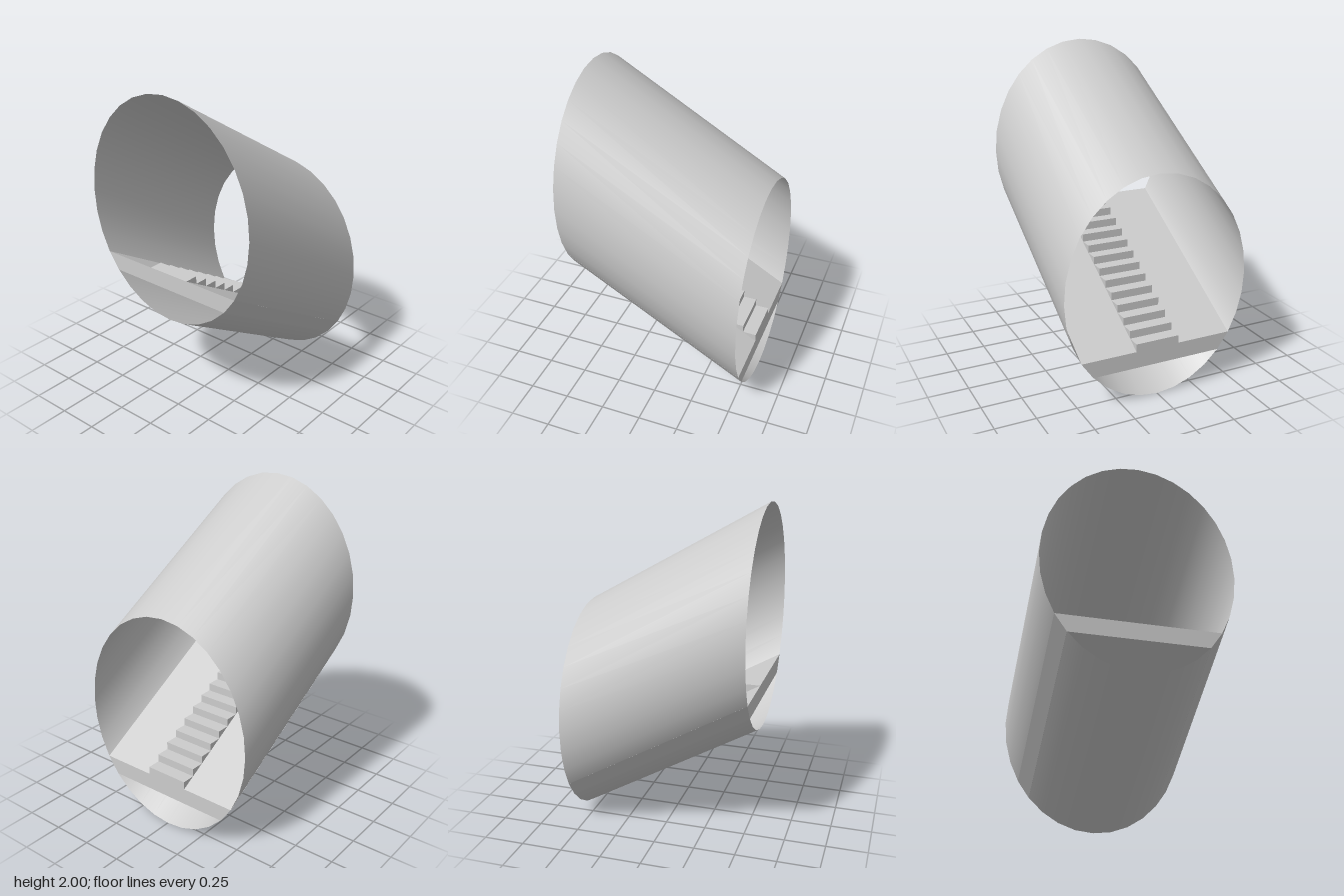
import * as THREE from 'three';

const RX = 0.589, RY = 0.68;          // section of the tube on a vertical cut
const LENGTH = 1.1;                   // depth along z
const SLOPE = Math.tan(Math.PI / 6);  // the tunnel climbs 30 degrees to the front
const CENTER_Y = 1.0025;
const SIDES = 32, STEPS = 13, STEP_WIDTH = 0.28;

// Shears a shape so that its height follows the slope, keeping the ends vertical
const incline = new THREE.Matrix4().set(
  1, 0, 0, 0,
  0, 1, SLOPE, CENTER_Y,
  0, 0, 1, 0,
  0, 0, 0, 1
);

// Point on the tube section, counted in sides below the horizontal
function rim(side, sign) {
  const a = side * Math.PI * 2 / SIDES;
  const r = 1.001;
  return new THREE.Vector2(sign * RX * r * Math.cos(a), -RY * r * Math.sin(a));
}

export function createModel() {
  const group = new THREE.Group();
  const grey = new THREE.MeshStandardMaterial({ color: 0xcccccc });
  const shell = new THREE.MeshStandardMaterial({ color: 0xcccccc, side: THREE.DoubleSide });

  function add(name, geometry, material) {
    const mesh = new THREE.Mesh(geometry, material);
    mesh.name = name;
    group.add(mesh);
  }

  // Open tunnel tube with vertical end cuts
  const tube = new THREE.CylinderGeometry(1, 1, LENGTH, SIDES, 1, true);
  tube.rotateX(Math.PI / 2).scale(RX, RY, 1).applyMatrix4(incline);
  add('tunnelTube', tube, shell);

  // Ramp floor filling one side of the tube section from wall to wall
  const section = new THREE.Shape([rim(4, -1), rim(4, 1), rim(3, 1), rim(3, -1)]);
  const floor = new THREE.ExtrudeGeometry(section, { depth: LENGTH, bevelEnabled: false });
  floor.translate(0, 0, -LENGTH / 2).applyMatrix4(incline);
  add('rampFloor', floor, grey);

  // Staircase along the middle of the ramp, drawn as a side profile (z, y)
  const floorTop = (z) => CENTER_Y + rim(3, 1).y + SLOPE * z;
  const run = LENGTH / STEPS, back = -LENGTH / 2, sink = 0.02;
  const profile = new THREE.Shape();
  profile.moveTo(back, floorTop(back) - sink);
  for (let i = 0; i < STEPS; i++) {
    const z = back + i * run, y = floorTop(z + run);
    profile.lineTo(z, y);
    profile.lineTo(z + run, y);
  }
  profile.lineTo(-back, floorTop(-back) - sink);
  profile.closePath();
  const stairs = new THREE.ExtrudeGeometry(profile, { depth: STEP_WIDTH, bevelEnabled: false });
  stairs.translate(0, 0, -STEP_WIDTH / 2).rotateY(-Math.PI / 2);
  add('staircase', stairs, grey);

  return group;
}
